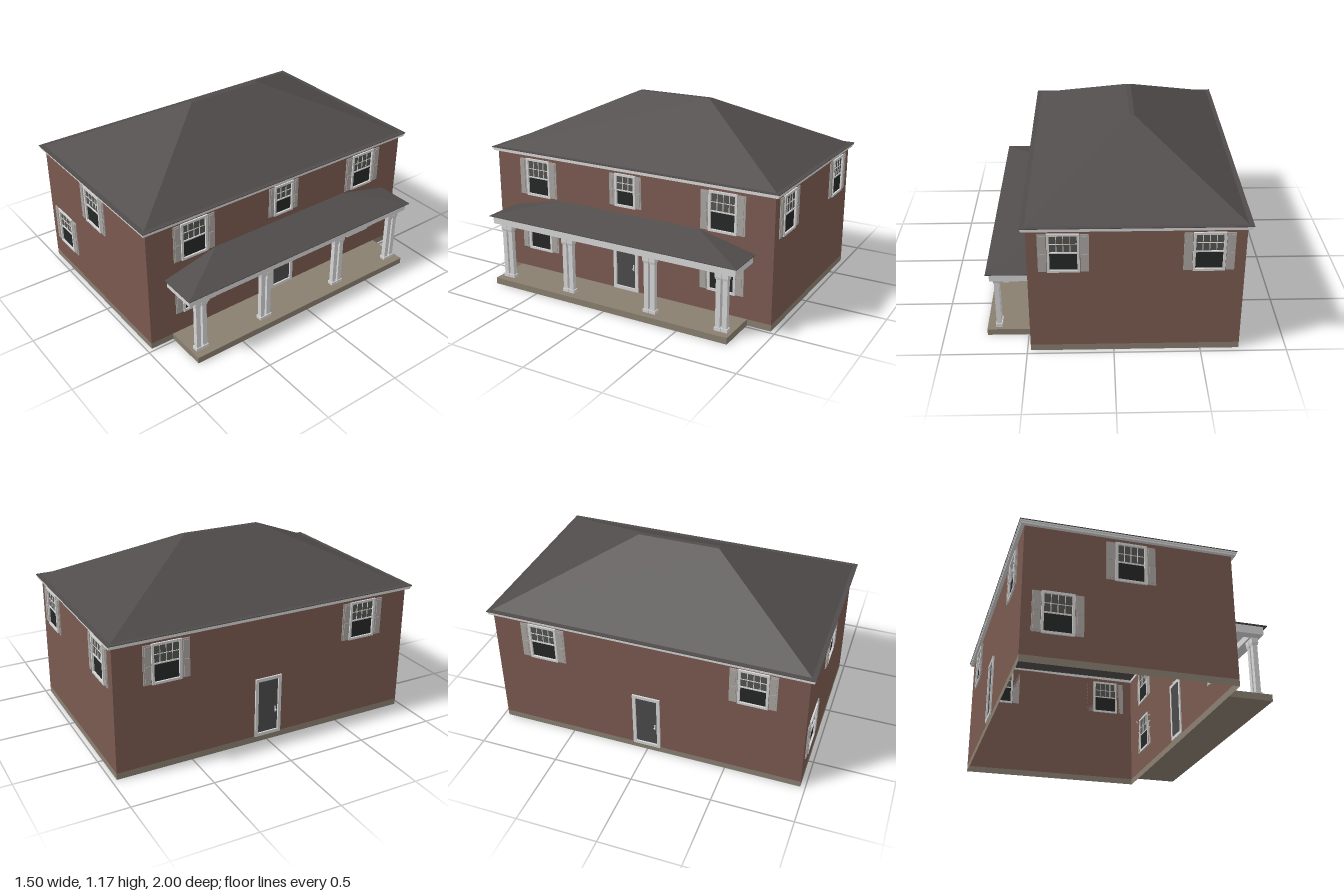
import * as THREE from 'three';

const mat = (name, color) =>
  new THREE.MeshStandardMaterial({ name, color, side: THREE.DoubleSide });

const M = {
  brick: mat('brick red', 0x7a5a50),
  roof: mat('roof charcoal', 0x504c4b),
  trim: mat('trim white', 0xd6d6d6),
  shutter: mat('shutter grey', 0xaaa5a1),
  stone: mat('foundation stone', 0x8a7f70),
  pane: mat('upper pane grey', 0x55544f),
  glass: mat('dark glass', 0x262727),
  door: mat('door grey', 0x4c4b4b),
};

// House footprint and main levels
const X0 = -0.725, X1 = 0.48, Z = 0.97, BASE = 0.04, TOP = 0.815;
const CX = (X0 + X1) / 2, W = X1 - X0;

function group(name, ...children) {
  const g = new THREE.Group();
  g.name = name;
  if (children.length) g.add(...children);
  return g;
}

function mesh(name, geometry, material) {
  const m = new THREE.Mesh(geometry, material);
  m.name = name;
  return m;
}

// Box given by its limits on each axis
function box(name, material, [x0, x1], [y0, y1], [z0, z1]) {
  const m = mesh(name, new THREE.BoxGeometry(x1 - x0, y1 - y0, z1 - z0), material);
  m.position.set((x0 + x1) / 2, (y0 + y1) / 2, (z0 + z1) / 2);
  return m;
}

// Faceted solid between two horizontal rectangles [x0, x1, z0, z1]
function frustum(bottom, y0, top, y1) {
  const ring = ([xa, xb, za, zb], y) => [[xa, y, zb], [xb, y, zb], [xb, y, za], [xa, y, za]];
  const b = ring(bottom, y0), t = ring(top, y1), pts = [];
  const quad = (p, q, r, s) => pts.push(...p, ...q, ...r, ...p, ...r, ...s);
  for (let i = 0; i < 4; i++) {
    const j = (i + 1) % 4;
    quad(b[i], b[j], t[j], t[i]);
  }
  quad(...t);
  const g = new THREE.BufferGeometry();
  g.setAttribute('position', new THREE.Float32BufferAttribute(pts, 3));
  g.computeVertexNormals();
  return g;
}

// Rectangular outline, used for walls and rings
function rect(PathType, x0, x1, y0, y1) {
  const p = new PathType();
  p.moveTo(x0, y0);
  p.lineTo(x1, y0);
  p.lineTo(x1, y1);
  p.lineTo(x0, y1);
  p.closePath();
  return p;
}

// Flat ring around the house, from the wall out to a given overhang
function eaveRing(name, material, out, inset, y, height) {
  const s = rect(THREE.Shape, X0 - out, X1 + out, -Z - out, Z + out);
  s.holes.push(rect(THREE.Path, X0 + inset, X1 - inset, -Z + inset, Z - inset));
  const g = new THREE.ExtrudeGeometry(s, { depth: height, bevelEnabled: false });
  g.rotateX(-Math.PI / 2);
  const m = mesh(name, g, material);
  m.position.y = y;
  return m;
}

// Four-sided border standing in the wall opening
function frame(name, w, h, t, z) {
  const s = rect(THREE.Shape, -w / 2, w / 2, 0, h);
  s.holes.push(rect(THREE.Path, -w / 2 + t, w / 2 - t, t, h - t));
  const g = new THREE.ExtrudeGeometry(s, { depth: z[1] - z[0], bevelEnabled: false });
  g.translate(0, 0, z[0]);
  return mesh(name, g, M.trim);
}

function shutter(side, w, h) {
  const sw = w > 0.16 ? 0.048 : 0.036, a = w / 2 + 0.003;
  const g = group('shutter', box('shutterBoard', M.shutter, [a, a + sw], [0.004, h - 0.004], [0, 0.006]));
  // two raised panels
  for (const [y0, y1] of [[0.014, h / 2 - 0.006], [h / 2 + 0.006, h - 0.014]])
    g.add(box('shutterPanel', M.shutter, [a + 0.009, a + sw - 0.009], [y0, y1], [0.005, 0.01]));
  g.scale.x = side;
  return g;
}

function makeWindow({ w, h }) {
  const t = 0.014, mid = h / 2, iw = w / 2 - t;
  const g = group('window',
    frame('windowFrame', w, h, t, [-0.008, 0.01]),
    box('upperPane', M.pane, [-iw, iw], [mid, h - t], [-0.003, -0.001]),
    box('lowerPane', M.glass, [-iw, iw], [t, mid], [-0.003, -0.001]),
    box('meetingRail', M.trim, [-iw, iw], [mid - 0.004, mid + 0.004], [-0.006, 0.005]),
    shutter(1, w, h), shutter(-1, w, h));
  // glazing bars in the upper sash
  const cols = w > 0.16 ? 4 : 3, yb = (mid + h - t) / 2;
  for (let i = 1; i < cols; i++) {
    const x = -iw + (2 * iw * i) / cols;
    g.add(box('glazingBar', M.trim, [x - 0.002, x + 0.002], [mid, h - t], [-0.005, 0.002]));
  }
  g.add(box('glazingBar', M.trim, [-iw, iw], [yb - 0.002, yb + 0.002], [-0.005, 0.002]));
  return g;
}

function makeDoor({ w, h }) {
  const t = 0.02, k = w / 2 - 0.034;
  const knob = mesh('doorKnob', new THREE.SphereGeometry(0.006, 12, 8), M.trim);
  knob.position.set(k, 0.15, 0.008);
  return group('door',
    frame('doorFrame', w, h, t, [-0.008, 0.01]),
    box('doorLeaf', M.door, [-w / 2 + t, w / 2 - t], [t / 2, h - t], [-0.005, 0]),
    box('doorPlate', M.trim, [k - 0.004, k + 0.004], [0.135, 0.175], [0, 0.003]),
    knob);
}

// Wall with openings, built facing +z and centred on its own x
function wall(name, width, openings, x, z, turn) {
  const s = rect(THREE.Shape, -width / 2, width / 2, BASE, TOP);
  const g = group(name);
  for (const o of openings) {
    const e = 0.004;
    s.holes.push(rect(THREE.Path, o.u - o.w / 2 + e, o.u + o.w / 2 - e, o.y + e, o.y + o.h - e));
    const unit = o.door ? makeDoor(o) : makeWindow(o);
    unit.position.set(o.u, o.y, 0);
    g.add(unit);
  }
  g.add(mesh('brickWall', new THREE.ShapeGeometry(s), M.brick));
  g.add(mesh('foundation',
    new THREE.ShapeGeometry(rect(THREE.Shape, -width / 2, width / 2, 0, BASE)), M.stone));
  g.position.set(x, 0, z);
  g.rotation.y = turn;
  return g;
}

function column(z) {
  const h = 0.0145, c = 0.02, x = 0.677;
  const sq = (r) => [x - r, x + r, z - r, z + r];
  return group('column',
    mesh('columnBase', frustum(sq(c), BASE, sq(c), 0.06), M.trim),
    mesh('columnShaft', frustum(sq(h), 0.06, sq(h), 0.352), M.trim),
    mesh('columnCapital', frustum(sq(h + 0.002), 0.352, sq(c), 0.366), M.trim),
    mesh('columnBlock', frustum(sq(c), 0.366, sq(c), 0.396), M.trim));
}

function porch() {
  const g = group('porch',
    box('porchFloor', M.stone, [X1, 0.745], [0, BASE], [-0.82, 0.82]),
    box('frontBeam', M.trim, [0.645, 0.71], [0.396, 0.446], [-0.845, 0.845]),
    box('porchCeiling', M.trim, [X1, 0.7], [0.436, 0.444], [-0.84, 0.84]),
    box('porchEave', M.roof, [X1, 0.73], [0.446, 0.45], [-0.86, 0.86]),
    mesh('porchRoof', frustum([X1, 0.73, -0.86, 0.86], 0.45, [X1, X1, -0.5, 0.5], 0.537), M.roof));
  for (const s of [-1, 1]) {
    const zs = [0.845 * s, 0.79 * s].sort((a, b) => a - b);
    g.add(box('sideBeam', M.trim, [X1, 0.645], [0.396, 0.446], zs));
    for (const z of [0.777, 0.734, 0.311, 0.268]) g.add(column(z * s));
  }
  return g;
}

export function createModel() {
  const upper = (u) => ({ u, y: 0.54, w: 0.18, h: 0.245 });
  const lower = (u) => ({ u, y: 0.172, w: 0.18, h: 0.248 });
  const small = { u: 0, y: 0.58, w: 0.145, h: 0.208 };
  const door = { u: 0, y: BASE, w: 0.175, h: 0.38, door: true };
  const q = Math.PI / 2;

  return group('house',
    wall('frontWall', W, [upper(0), lower(-0.405)], CX, Z, 0),
    wall('backWall', W, [upper(-0.4), upper(0.4)], CX, -Z, Math.PI),
    wall('porchWall', 2 * Z,
      [upper(-0.652), upper(0.652), lower(-0.652), lower(0.652), small, door], X1, 0, q),
    wall('sideWall', 2 * Z, [upper(-0.652), upper(0.652), door], X0, 0, -q),
    porch(),
    // cornice, brim and hipped roof
    eaveRing('lowerCornice', M.trim, 0.022, 0, 0.807, 0.011),
    eaveRing('upperCornice', M.trim, 0.027, 0, 0.818, 0.01),
    eaveRing('roofBrim', M.roof, 0.03, 0, 0.828, 0.004),
    mesh('mainRoof', frustum([X0 - 0.004, X1 + 0.004, -0.975, 0.975], 0.831,
      [-0.138, -0.108, -0.255, 0.255], 1.167), M.roof));
}
